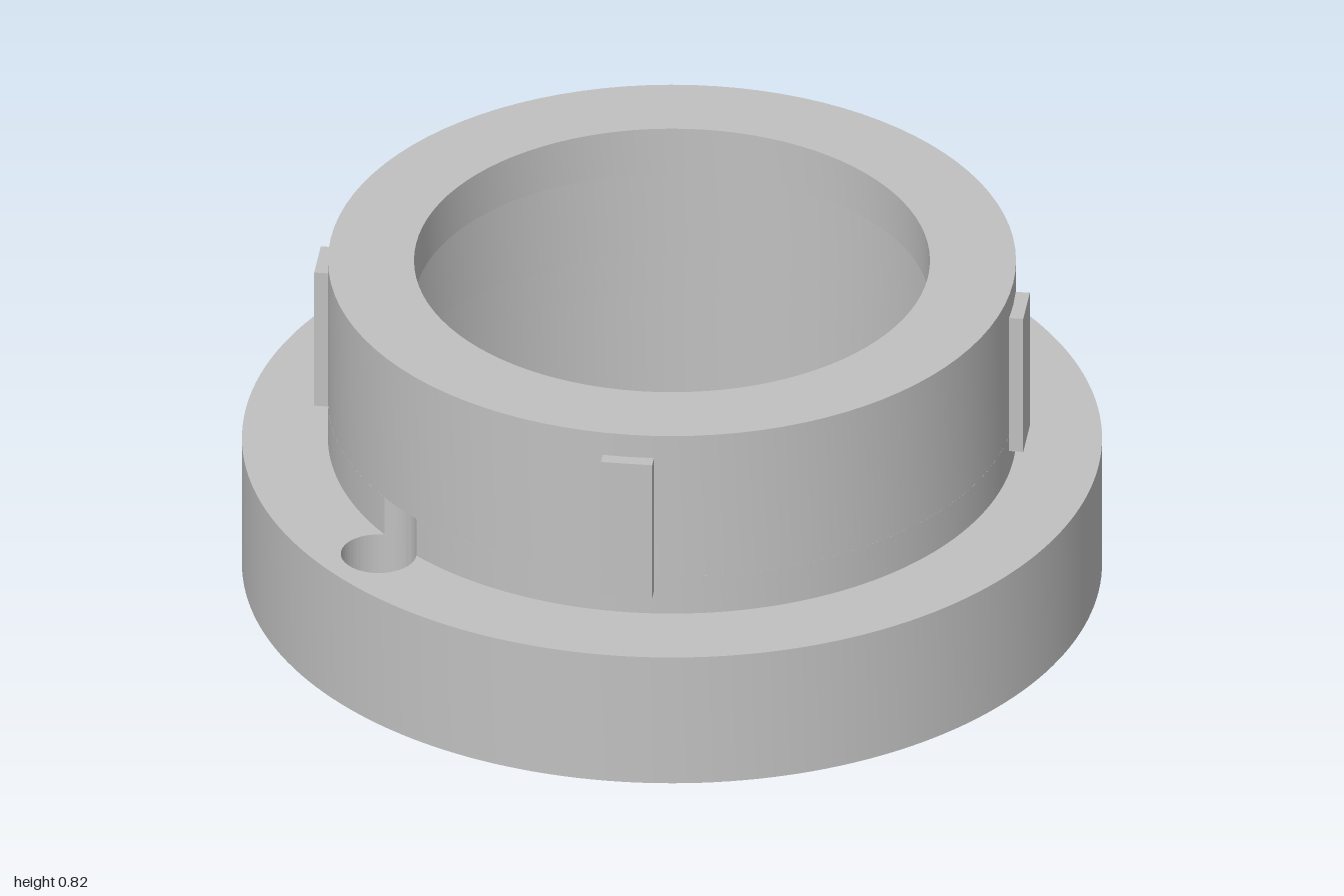
import * as THREE from 'three';
import { toCreasedNormals } from 'three/addons/utils/BufferGeometryUtils.js';

const SEGMENTS = 96;
const BORE = 0.66, COLLAR = 0.8, HOLE = 0.088, HOLE_Z = 0.862;
const FLANGE_TOP = 0.34, POCKET_TOP = 0.44, TOP = 0.82;

const circle = (Type, x, y, r) => new Type().absarc(x, y, r, 0, Math.PI * 2, false);

// Extrudes a plan shape upwards from y0 to y1
function slab(shape, y0, y1) {
  const geometry = new THREE.ExtrudeGeometry(shape, {
    depth: y1 - y0, bevelEnabled: false, curveSegments: SEGMENTS,
  });
  geometry.rotateX(-Math.PI / 2).translate(0, y0, 0);
  return toCreasedNormals(geometry, 0.5);
}

export function createModel() {
  const group = new THREE.Group();
  const grey = new THREE.MeshStandardMaterial({ color: 0xc0c0c0 });
  grey.name = 'grey';
  const add = (name, geometry) => {
    const mesh = new THREE.Mesh(geometry, grey);
    mesh.name = name;
    group.add(mesh);
    return mesh;
  };

  // Flange with the bore and two through holes
  const flange = circle(THREE.Shape, 0, 0, 1);
  flange.holes.push(circle(THREE.Path, 0, 0, BORE));
  for (const s of [1, -1]) flange.holes.push(circle(THREE.Path, 0, s * HOLE_Z, HOLE));
  add('flange', slab(flange, 0, FLANGE_TOP));

  // Foot of the collar, notched where the holes run into it
  const along = (HOLE_Z ** 2 + COLLAR ** 2 - HOLE ** 2) / (2 * HOLE_Z);
  const half = Math.sqrt(COLLAR ** 2 - along ** 2);
  const a = Math.asin(half / COLLAR);
  const b = Math.atan2(along - HOLE_Z, half);
  const q = Math.PI / 2;
  const foot = new THREE.Shape();
  foot.absarc(0, 0, COLLAR, -q + a, q - a, false);
  foot.absarc(0, HOLE_Z, HOLE, b, -Math.PI - b, true);
  foot.absarc(0, 0, COLLAR, q + a, 3 * q - a, false);
  foot.absarc(0, -HOLE_Z, HOLE, Math.PI + b, -b, true);
  foot.holes.push(circle(THREE.Path, 0, 0, BORE));
  add('collarFoot', slab(foot, FLANGE_TOP, POCKET_TOP));

  // Upper collar with an inward lip at the top of the bore
  const profile = [
    [BORE, POCKET_TOP], [COLLAR, POCKET_TOP], [COLLAR, TOP],
    [0.6, TOP], [0.6, 0.7], [BORE, 0.7], [BORE, POCKET_TOP],
  ].map(([r, y]) => new THREE.Vector2(r, y));
  add('collar', toCreasedNormals(new THREE.LatheGeometry(profile, SEGMENTS), 0.5));

  // Four raised keys on the diagonals
  for (let i = 0; i < 4; i++) {
    const key = new THREE.BoxGeometry(0.12, 0.36, 0.036);
    key.translate(0, 0.58, 0.813);
    add('key', key).rotation.y = Math.PI / 4 + i * q;
  }

  return group;
}
